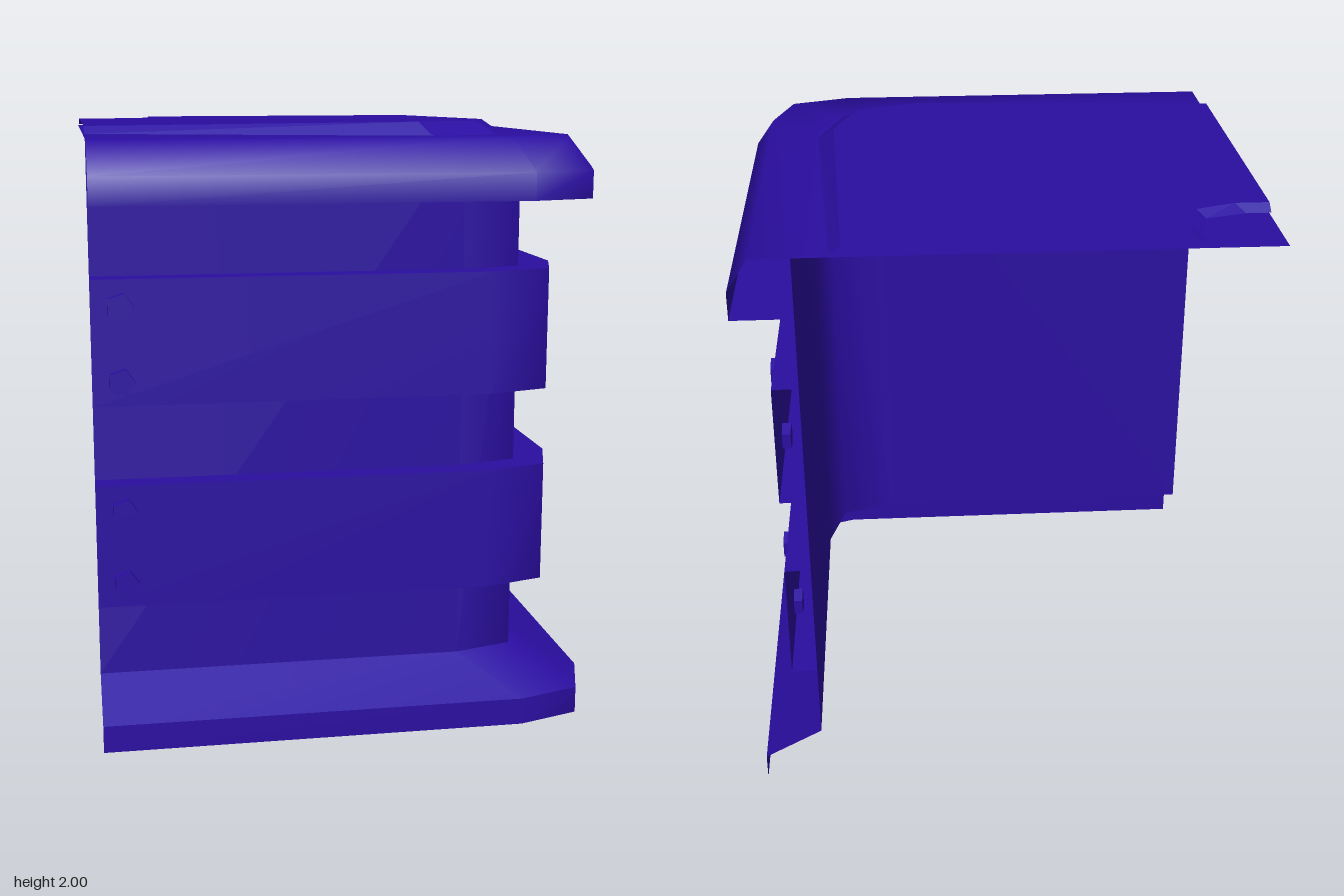
import * as THREE from 'three';

const END = -0.84; // the two open ends of the corner piece
const material = new THREE.MeshStandardMaterial({ color: 0x2a0da0, side: THREE.DoubleSide });
const flatMaterial = material.clone();
flatMaterial.flatShading = true;

// Plan outline running from the front's open end, round the corner, to the side's open end.
// r: face distance, s: where the corner starts, m: corner middle, e / yEnd: values at the ends
function ring(y, r, s, m, e = r, yEnd = y) {
  return [[END, yEnd, e], [s, y, r], [m, y, m], [r, y, s], [e, yEnd, END]];
}

// Surface through successive rings, smooth within one call
function skin(rings) {
  const n = rings[0].length;
  const index = [];
  for (let j = 0; j < rings.length - 1; j++) {
    for (let i = 0; i < n - 1; i++) {
      const a = j * n + i, b = a + 1, c = a + n, d = c + 1;
      index.push(a, b, d, a, d, c);
    }
  }
  const g = new THREE.BufferGeometry();
  g.setAttribute('position', new THREE.Float32BufferAttribute(rings.flat(2), 3));
  g.setIndex(index);
  g.computeVertexNormals();
  return g;
}

// Each step between rings becomes its own strip, so the long edges stay sharp
function strips(name, rings, mat = material) {
  const group = new THREE.Group();
  group.name = name;
  for (let i = 0; i < rings.length - 1; i++) {
    const mesh = new THREE.Mesh(skin([rings[i], rings[i + 1]]), mat);
    mesh.name = name + 'Strip';
    group.add(mesh);
  }
  return group;
}

const outer = (y) => ring(y, 0.837, 0.56, 0.77);
const wall = (y) => ring(y, 0.642, 0.38, 0.583);
const band = (y) => ring(y, 0.727, 0.46, 0.665);

export function createModel() {
  const model = new THREE.Group();
  model.name = 'cornerPillar';

  // Flared foot and plain wall
  model.add(strips('base', [outer(0), outer(0.09), wall(0.195)]));
  model.add(strips('wall', [wall(0.195), wall(1.955)]));

  // Two raised bands with their bolts
  for (const [low, high] of [[0.455, 0.86], [1.12, 1.525]]) {
    model.add(strips('band', [wall(low), band(low), band(high), wall(high)]));
    for (const y of [low + 0.08, high - 0.085]) {
      const geo = new THREE.CylinderGeometry(0.045, 0.045, 0.05, 5);
      const front = new THREE.Mesh(geo, flatMaterial);
      front.name = 'frontBolt';
      front.rotation.set(Math.PI / 2, Math.PI / 2, 0);
      front.position.set(-0.75, y, 0.729);
      const side = new THREE.Mesh(geo, flatMaterial);
      side.name = 'sideBolt';
      side.rotation.z = -Math.PI / 2;
      side.position.set(0.723, y, -0.545);
      model.add(front, side);
    }
  }

  // Cap: flat underside, then a softly rounded rim running into the top sheet
  model.add(strips('capUnderside', [wall(1.76), outer(1.76)]));
  const cap = new THREE.Mesh(skin([
    outer(1.76), outer(1.85),
    ring(1.955, 0.77, 0.5, 0.705),
    ring(1.955, 0.6, 0.34, 0.53),
    ring(1.955, END, END, END),
  ]), material);
  cap.name = 'cap';
  model.add(cap);

  // Thin bevelled plate on top, cut away around the inner corner
  model.add(strips('topPlate', [
    ring(1.956, 0.597, 0.28, 0.518, 0.53, 1.966),
    ring(2.0, 0.54, 0.245, 0.46, 0.495, 1.99),
    ring(1.988, -0.555, -0.73, -0.6),
    ring(1.966, -0.59, -0.76, -0.627),
  ], flatMaterial));

  return model;
}
